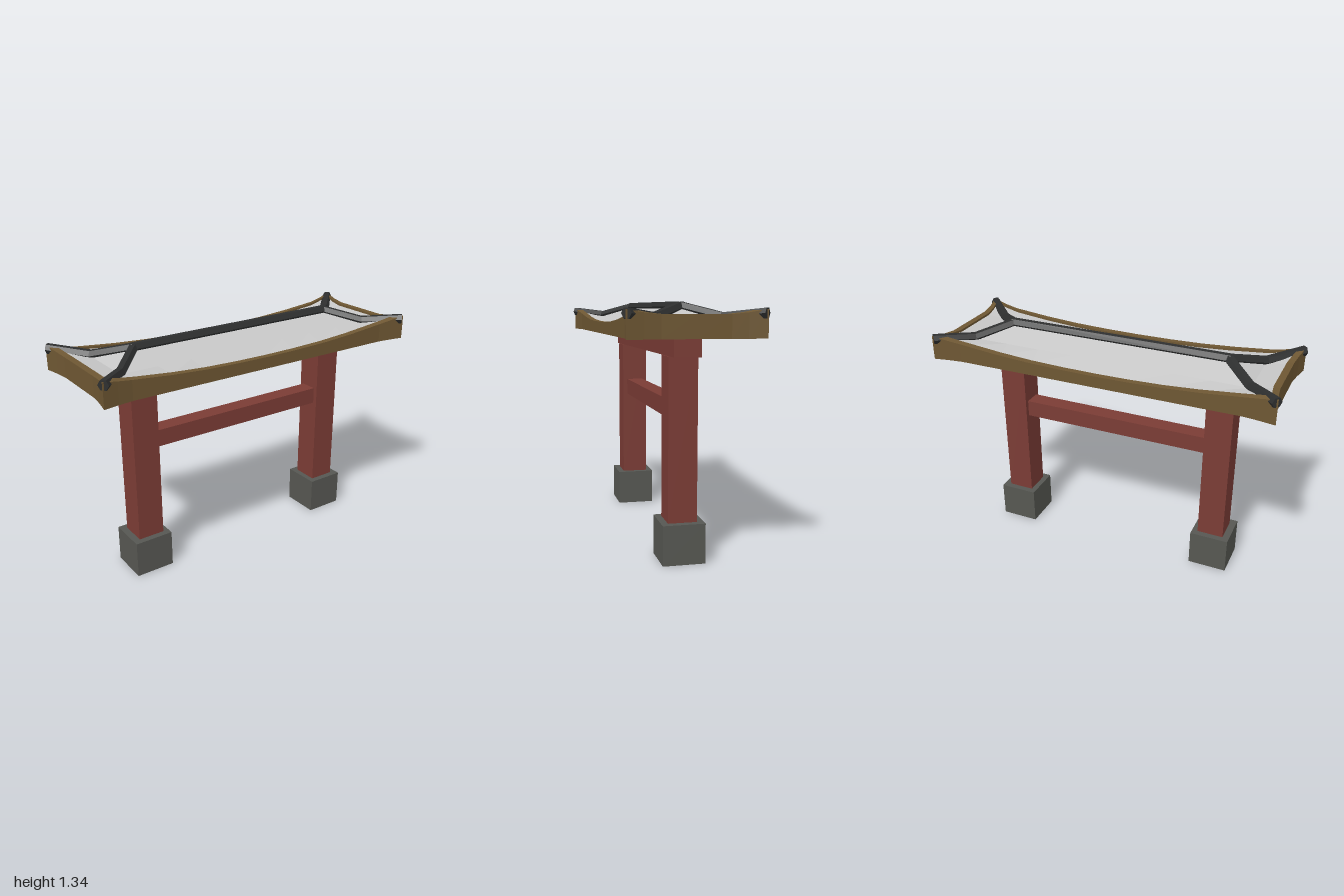
import * as THREE from 'three';

function material(name, color, side = THREE.FrontSide) {
  const m = new THREE.MeshStandardMaterial({ color, side });
  m.name = name;
  return m;
}

// Skin a list of closed loops (arrays of Vector3) with flat faces
function loft(loops) {
  const pos = [];
  const tri = (a, b, c) => {
    const area = b.clone().sub(a).cross(c.clone().sub(a)).length();
    if (area > 1e-8) for (const p of [a, b, c]) pos.push(p.x, p.y, p.z);
  };
  for (let k = 0; k < loops.length - 1; k++) {
    const A = loops[k], B = loops[k + 1];
    for (let i = 0; i < A.length; i++) {
      const j = (i + 1) % A.length;
      tri(A[i], B[i], A[j]);
      tri(A[j], B[i], B[j]);
    }
  }
  const g = new THREE.BufferGeometry();
  g.setAttribute('position', new THREE.Float32BufferAttribute(pos, 3));
  g.computeVertexNormals();
  return g;
}

// Six-sided bar along a path, with closed ends
function hexBar(points, radius) {
  const up = new THREE.Vector3(0, 1, 0);
  const dir = points[points.length - 1].clone().sub(points[0]).setY(0).normalize();
  const side = dir.cross(up);
  const loops = points.map(p => Array.from({ length: 6 }, (_, i) => {
    const a = i * Math.PI / 3;
    return p.clone().addScaledVector(side, radius * Math.cos(a)).addScaledVector(up, radius * Math.sin(a));
  }));
  const cap = p => Array(6).fill(p);
  return loft([cap(points[0]), ...loops, cap(points[points.length - 1])]);
}

export function createModel() {
  const model = new THREE.Group();
  model.name = 'gate';
  const red = material('red paint', 0x7b3c35);
  const stone = material('grey stone', 0x565752, THREE.DoubleSide);
  const wood = material('brown wood', 0x6e5733);
  const tile = material('pale roof', 0xc6c6c6);
  const black = material('black trim', 0x2e2f2f);

  const add = (name, geometry, mat) => {
    const mesh = new THREE.Mesh(geometry, mat);
    mesh.name = name;
    model.add(mesh);
    return mesh;
  };
  const box = (name, mat, w, h, d, x, y) => {
    const mesh = add(name, new THREE.BoxGeometry(w, h, d), mat);
    mesh.position.set(x, y + h / 2, 0);
    return mesh;
  };

  // Posts on hollow stone bases
  for (const s of [1, -1]) {
    const label = s > 0 ? 'left' : 'right';
    const base = box(label + 'Base', stone, 0.225, 0.212, 0.225, s * 0.64, 0).geometry;
    const index = Array.from(base.index.array);
    index.splice(18, 6); // open underneath
    base.setIndex(index);
    base.clearGroups();
    box(label + 'Post', red, 0.153, 0.855, 0.153, s * 0.637, 0.21);
  }

  // Crossbeams
  box('topBeam', red, 1.6, 0.095, 0.14, 0, 1.065);
  box('lowerBeam', red, 1.13, 0.097, 0.1, 0, 0.739);

  // Roof rim, one quarter from the side middle to the front middle: x, y, z
  const quarter = [
    [0.957, 1.275, 0], [0.957, 1.275, 0.17], [0.967, 1.283, 0.25], [0.985, 1.298, 0.34],
    [0.9, 1.28, 0.325], [0.82, 1.267, 0.315], [0.6, 1.246, 0.315], [0.4, 1.233, 0.315],
    [0.2, 1.227, 0.315], [0, 1.225, 0.315],
  ];
  const half = [...quarter, ...quarter.slice(0, -1).reverse().map(([x, y, z]) => [-x, y, z])];
  const rim = [...half, ...half.slice(1, -1).reverse().map(([x, y, z]) => [x, y, -z])];
  const ring = fn => rim.map(([x, y, z]) => new THREE.Vector3(...fn(x, y, z)));
  const clamp = THREE.MathUtils.clamp;

  const BOTTOM = 1.16, INX = 0.961, INZ = 0.889;
  const outerBottom = ring((x, y, z) => [x, BOTTOM, z]);
  const outerTop = ring((x, y, z) => [x, y, z]);
  const innerTop = ring((x, y, z) => [x * INX, y, z * INZ]);
  const innerLow = ring((x, y, z) => [x * INX, y - 0.012, z * INZ]);
  const bend = ring((x, y, z) => [clamp(x, -0.81, 0.81), 1.25, clamp(z, -0.17, 0.17)]);
  const crest = ring(x => [clamp(x, -0.65, 0.65), 1.308, 0]);
  const centre = ring(() => [0, BOTTOM, 0]);

  add('roofFascia', loft([outerBottom, outerTop, innerTop, innerLow]), wood);
  add('roofSurface', loft([innerLow, bend, crest]), tile);
  add('roofUnderside', loft([centre, outerBottom]), stone);

  // Ridge and the four hip bars that bend up to the corners
  const v = (x, y, z) => new THREE.Vector3(x, y, z);
  add('ridge', hexBar([v(-0.655, 1.31, 0), v(0.655, 1.31, 0)], 0.03), black);
  for (const sx of [1, -1]) for (const sz of [1, -1]) {
    const path = [v(sx * 0.645, 1.31, 0), v(sx * 0.81, 1.257, sz * 0.17), v(sx * 0.979, 1.28, sz * 0.336)];
    add('hipBar', hexBar(path, 0.029), black);
  }
  return model;
}
